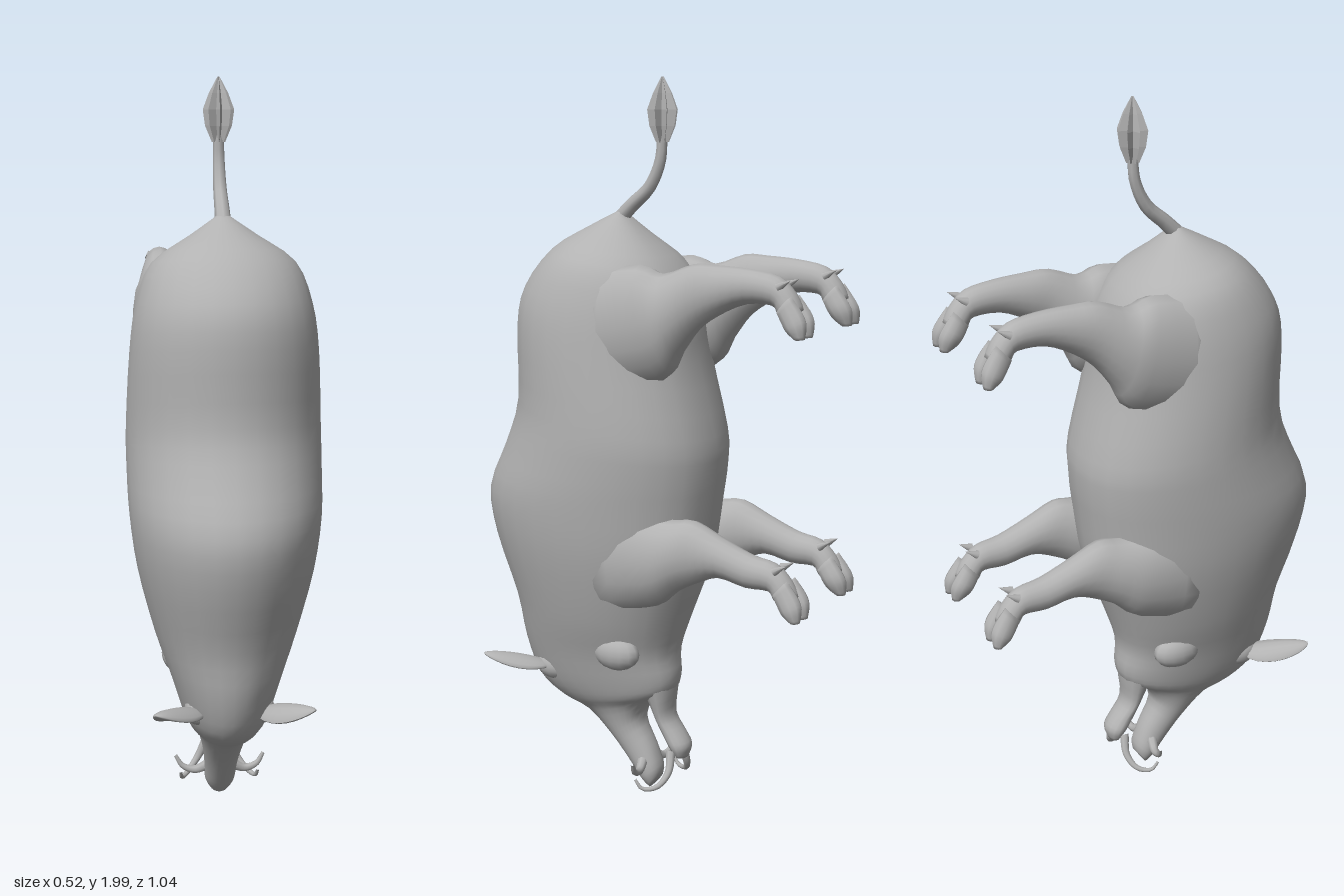
import * as THREE from 'three';

const hide = new THREE.MeshStandardMaterial({ color: 0xb2b2b2 });
hide.name = 'grey hide';

// Smoothly interpolates the columns of a table of sections
function refine(rows, steps) {
  const out = [], last = rows.length - 1;
  for (let i = 0; i < last; i++) {
    const [a, b, c, d] = [rows[Math.max(i - 1, 0)], rows[i], rows[i + 1], rows[Math.min(i + 2, last)]];
    for (let k = 0; k < steps; k++) {
      const t = k / steps;
      out.push(b.map((v, n) => v + 0.5 * t * (c[n] - a[n] +
        t * (2 * a[n] - 5 * v + 4 * c[n] - d[n] + t * (3 * (v - c[n]) + d[n] - a[n])))));
    }
  }
  out.push(rows[last]);
  return out;
}

// Skin over oval sections; each row is [z1, y1, z2, y2, halfWidth, xCentre]
// where the two points are opposite ends of the oval in the side plane.
function loft(name, rows, { sides = 20, steps = 3, blunt = 1, dx = 0, dy = 0, s = 1 } = {}) {
  const rings = refine(rows, steps), pos = [], idx = [];
  for (const [z1, y1, z2, y2, w, x = 0] of rings) {
    for (let j = 0; j < sides; j++) {
      const t = (j / sides) * Math.PI * 2, c = Math.cos(t), sn = Math.sin(t);
      const side = Math.sign(sn) * Math.pow(Math.abs(sn), c < 0 ? blunt : 1);
      pos.push(s * (x + dx) + w * side,
        (y1 + y2) / 2 + c * (y1 - y2) / 2 + dy,
        (z1 + z2) / 2 + c * (z1 - z2) / 2);
    }
  }
  // Choose the winding from the direction of travel
  const a = rings[0], b = rings[rings.length - 1];
  const travelZ = b[0] + b[2] - a[0] - a[2], travelY = b[1] + b[3] - a[1] - a[3];
  const m = rings[rings.length >> 1];
  const flip = (m[0] - m[2]) * travelY - (m[1] - m[3]) * travelZ < 0;
  const tri = (p, q, r) => (flip ? idx.push(p, r, q) : idx.push(p, q, r));
  const n = rings.length;
  for (let i = 0; i < n - 1; i++) {
    for (let j = 0; j < sides; j++) {
      const k = (j + 1) % sides, p = i * sides, q = p + sides;
      tri(p + j, p + k, q + j);
      tri(p + k, q + k, q + j);
    }
  }
  // End caps
  for (const [row, r, first] of [[0, a, true], [n - 1, b, false]]) {
    const centre = pos.length / 3;
    pos.push(s * ((r[5] || 0) + dx), (r[1] + r[3]) / 2 + dy, (r[0] + r[2]) / 2);
    for (let j = 0; j < sides; j++) {
      const p = row * sides + j, q = row * sides + (j + 1) % sides;
      first ? tri(centre, q, p) : tri(centre, p, q);
    }
  }
  const g = new THREE.BufferGeometry();
  g.setAttribute('position', new THREE.Float32BufferAttribute(pos, 3));
  g.setIndex(idx);
  g.computeVertexNormals();
  return named(name, g);
}

function named(name, geometry) {
  const mesh = new THREE.Mesh(geometry, hide);
  mesh.name = name;
  return mesh;
}

// Tube along a curve, tapering from r0 to r1
function taper(name, pts, r0, r1, segs = 14, sides = 8) {
  const curve = new THREE.CatmullRomCurve3(pts.map(p => new THREE.Vector3(...p)));
  const g = new THREE.TubeGeometry(curve, segs, 1, sides), p = g.attributes.position;
  const v = new THREE.Vector3(), c = new THREE.Vector3();
  for (let i = 0; i < p.count; i++) {
    const t = Math.floor(i / (sides + 1)) / segs;
    curve.getPointAt(t, c);
    v.fromBufferAttribute(p, i).sub(c).multiplyScalar(r0 + (r1 - r0) * t).add(c);
    p.setXYZ(i, v.x, v.y, v.z);
  }
  return named(name, g);
}

const BODY = [
  [.11, 1.65, .095, 1.635, .015], [.2, 1.605, .03, 1.58, .09], [.3, 1.545, -.06, 1.5, .19],
  [.385, 1.44, -.11, 1.4, .232], [.41, 1.33, -.13, 1.25, .25], [.41, 1.13, -.18, 1.05, .26],
  [.455, 1, -.185, .96, .26], [.515, .865, -.175, .86, .255], [.5, .73, -.15, .7, .235],
  [.44, .55, -.09, .53, .19], [.42, .42, -.06, .43, .15], [.38, .31, -.065, .36, .122],
  [.31, .255, -.05, .31, .1], [.22, .22, .01, .275, .075], [.14, .15, .045, .215, .056],
  [.085, .085, .01, .14, .046], [.045, .035, -.012, .08, .042], [.02, .01, -.01, .05, .028],
];
const JAW = [
  [.05, .33, -.06, .37, .075], [.02, .28, -.055, .31, .06], [-.005, .225, -.05, .24, .046],
  [-.02, .19, -.085, .19, .042], [-.045, .15, -.105, .155, .042], [-.065, .125, -.095, .12, .028],
];
const HIND_LEG = [
  [.1, 1.5, .1, 1.18, .08, .15], [-.03, 1.52, -.1, 1.22, .085, .145], [-.1, 1.5, -.15, 1.29, .075, .145],
  [-.19, 1.53, -.2, 1.355, .056, .145], [-.26, 1.53, -.26, 1.4, .048, .142], [-.35, 1.525, -.34, 1.435, .04, .14],
  [-.43, 1.51, -.415, 1.435, .036, .14], [-.475, 1.47, -.43, 1.415, .036, .14], [-.495, 1.43, -.455, 1.395, .038, .14],
];
const FRONT_LEG = [
  [.08, .88, .08, .56, .08, .14], [-.06, .85, -.08, .6, .08, .14], [-.13, .845, -.145, .65, .07, .14],
  [-.19, .85, -.2, .68, .056, .14], [-.27, .815, -.27, .705, .047, .14], [-.36, .78, -.35, .69, .04, .14],
  [-.43, .765, -.415, .69, .036, .14], [-.475, .725, -.43, .67, .036, .14], [-.495, .685, -.455, .65, .038, .14],
];
// Half of a cloven hoof, at hind leg height
const TOE = [
  [-.475, 1.465, -.435, 1.42, .018, .14], [-.505, 1.425, -.45, 1.395, .025, .14],
  [-.518, 1.395, -.465, 1.375, .024, .143], [-.515, 1.36, -.49, 1.358, .014, .146],
];

export function createModel() {
  const model = new THREE.Group();
  model.name = 'boar';
  model.add(loft('body', BODY, { sides: 28, blunt: 0.85 }));
  model.add(loft('lowerJaw', JAW, { sides: 14 }));

  // Tail with a star-shaped tuft
  model.add(taper('tail', [[0, 1.61, .13], [0, 1.66, .08], [0, 1.71, .025], [0, 1.78, -.008], [0, 1.85, -.015]], .022, .014));
  const tuft = new THREE.CylinderGeometry(1, 1, .17, 16, 4), p = tuft.attributes.position;
  const radii = [.018, .036, .042, .026, .003];
  for (let i = 0; i < p.count; i++) {
    const x = p.getX(i), z = p.getZ(i), level = Math.round((p.getY(i) / .17 + .5) * 4);
    const spike = Math.round(Math.atan2(x, z) / (Math.PI / 8)) % 2 ? .5 : 1;
    p.setXYZ(i, x * radii[level] * spike, p.getY(i), z * radii[level] * spike);
  }
  const flat = tuft.toNonIndexed();
  flat.computeVertexNormals();
  const tuftMesh = named('tailTuft', flat);
  tuftMesh.position.set(0, 1.915, -.015);
  model.add(tuftMesh);

  for (const s of [1, -1]) {
    const side = s > 0 ? 'left' : 'right';

    // Legs with cloven hooves and dewclaws
    for (const [part, rows, dy] of [['HindLeg', HIND_LEG, 0], ['FrontLeg', FRONT_LEG, -.735]]) {
      const leg = new THREE.Group();
      leg.name = side + part;
      leg.add(loft('limb', rows, { sides: 16, s }));
      for (const k of [-1, 1]) {
        leg.add(loft('toe', TOE, { sides: 10, dx: k * .024, dy, s }));
        const claw = named('dewclaw', new THREE.ConeGeometry(.012, .04, 8));
        claw.position.set(s * .14 + k * .024, 1.495 + dy, -.455);
        claw.rotation.x = -1.1;
        leg.add(claw);
      }
      model.add(leg);
    }

    // Leaf-shaped cupped ear
    const ear = new THREE.SphereGeometry(1, 16, 12), e = ear.attributes.position;
    for (let i = 0; i < e.count; i++) {
      const x = e.getX(i), y = e.getY(i), z = e.getZ(i);
      e.setXYZ(i, x * .046 * (1 - .2 * y), y * .1, z * .016 + x * x * .018);
    }
    const along = new THREE.Vector3(s * .62, .22, .75).normalize();
    const across = new THREE.Vector3(.75, .15, -s * .62).addScaledVector(along, 0).normalize();
    const normal = new THREE.Vector3().crossVectors(across, along).normalize();
    across.crossVectors(along, normal);
    ear.applyMatrix4(new THREE.Matrix4().makeBasis(across, along, normal).setPosition(s * .143, .375, .375));
    ear.computeVertexNormals();
    model.add(named(side + 'Ear', ear));

    // Brow and cheek swellings
    for (const [part, c, r] of [['Brow', [.085, .355, .29], [.035, .04, .055]], ['Cheek', [.125, .44, .06], [.04, .05, .07]]]) {
      const bump = named(side + part, new THREE.SphereGeometry(1, 14, 10));
      bump.position.set(s * c[0], c[1], c[2]);
      bump.scale.set(...r);
      model.add(bump);
    }

    // Curled tusks
    model.add(taper(side + 'LowerTusk', [[s * .03, .14, -.06], [s * .055, .085, -.065], [s * .085, .05, -.045], [s * .105, .045, -.01], [s * .11, .07, .01]], .014, .004));
    model.add(taper(side + 'UpperTusk', [[s * .03, .1, .03], [s * .07, .08, .02], [s * .105, .09, .015], [s * .125, .12, .01]], .016, .005));
  }
  return model;
}
